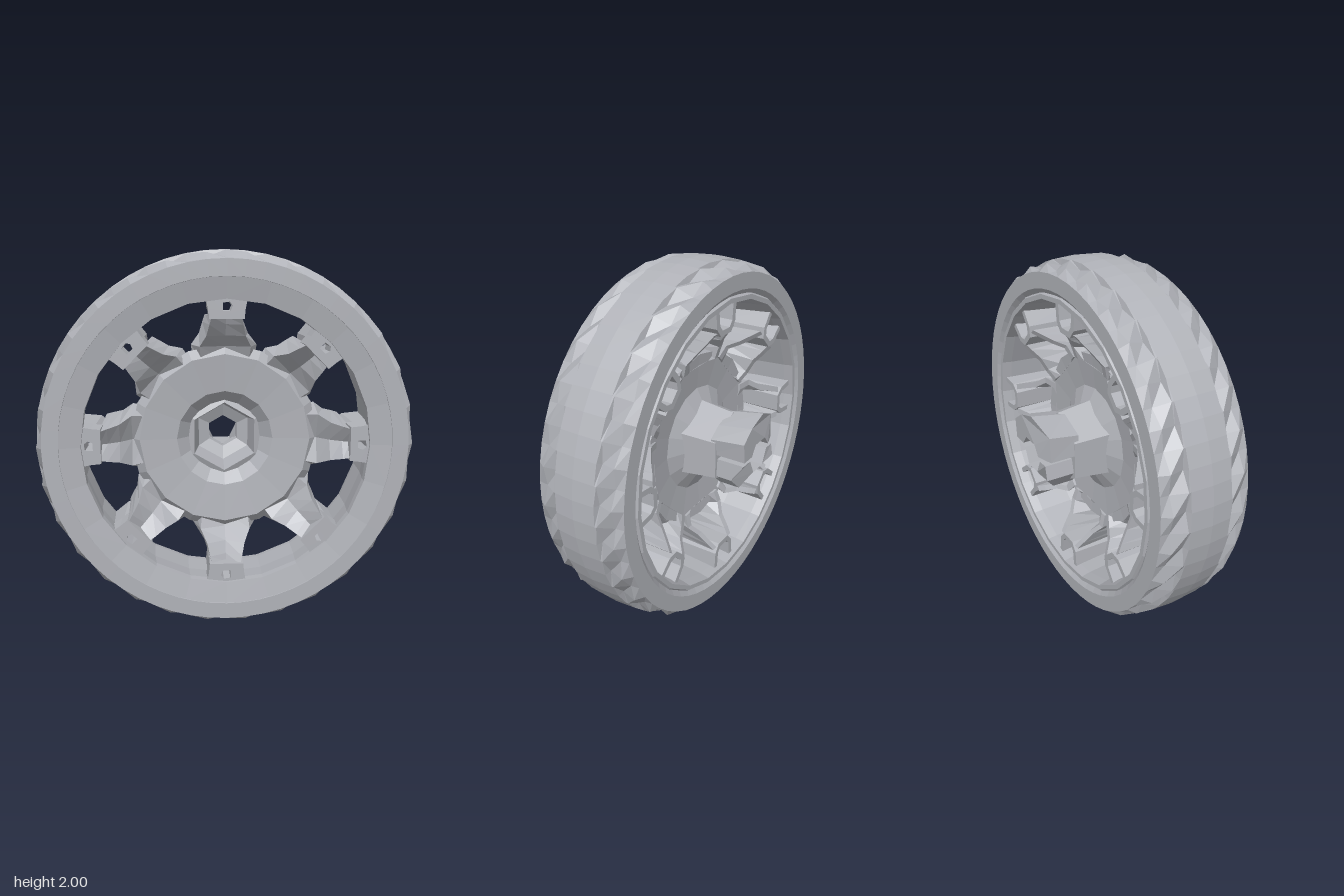
import * as THREE from 'three';

const grey = new THREE.MeshStandardMaterial({ color: 0xb0b2b8, flatShading: true, side: THREE.DoubleSide });
grey.name = 'light grey';

function part(name, geometry) {
  const g = geometry.index ? geometry.toNonIndexed() : geometry;
  g.computeVertexNormals();
  const mesh = new THREE.Mesh(g, grey);
  mesh.name = name;
  return mesh;
}

const points = (list) => list.map(([x, y]) => new THREE.Vector2(x, y));

// Ring turned about the wheel axis from [radius, z] points
function turned(profile, segments, rule) {
  const pts = points([...profile, profile[0]]);
  const g = new THREE.LatheGeometry(pts, segments);
  const p = g.attributes.position;
  if (rule) {
    for (let k = 0; k < p.count; k++) {
      const s = rule(Math.floor(k / pts.length) % segments, k % pts.length);
      p.setX(k, p.getX(k) * s);
      p.setZ(k, p.getZ(k) * s);
    }
  }
  g.rotateX(Math.PI / 2);
  return g;
}

// Flat outline pushed from z0 to z1
function extruded(outline, z0, z1, hole) {
  const shape = new THREE.Shape(points(outline));
  if (hole) shape.holes.push(new THREE.Path(points(hole)));
  const g = new THREE.ExtrudeGeometry(shape, { depth: z1 - z0, bevelEnabled: false });
  g.translate(0, 0, z0);
  return g;
}

// Closed loops of equal length joined into a capped solid
function loft(loops) {
  const n = loops[0].length, idx = [];
  for (let i = 0; i < loops.length - 1; i++) {
    for (let j = 0; j < n; j++) {
      const a = i * n + j, b = i * n + (j + 1) % n;
      idx.push(a, b, a + n, b, b + n, a + n);
    }
  }
  const end = (loops.length - 1) * n;
  const caps = THREE.ShapeUtils.triangulateShape(points(loops[0].map(([x, , z]) => [x, z])), []);
  for (const [a, b, c] of caps) idx.push(a, c, b, end + a, end + b, end + c);
  const g = new THREE.BufferGeometry();
  g.setAttribute('position', new THREE.Float32BufferAttribute(loops.flat(2), 3));
  g.setIndex(idx);
  return g;
}

// Spoke section: notched front, hollow back
function spokeSection(r, w, zf, zb) {
  const t = 0.035;
  return [
    [-w, r, zb], [-w * 0.75, r, zf], [0, r, zf - 0.05], [w * 0.75, r, zf], [w, r, zb],
    [w - t, r, zb], [w * 0.75 - t, r, zf - 0.09], [-w * 0.75 + t, r, zf - 0.09], [-w + t, r, zb],
  ];
}

function spoke() {
  const group = new THREE.Group();
  group.name = 'spoke';
  group.add(part('spokeArm', loft([
    spokeSection(0.43, 0.17, 0.125, 0.02),
    spokeSection(0.5, 0.18, 0.16, 0.0),
    spokeSection(0.56, 0.135, 0.23, -0.04),
    spokeSection(0.62, 0.115, 0.27, -0.09),
    spokeSection(0.66, 0.1, 0.29, -0.12),
  ])));
  // Front of the socket, with a small hole beside the rim
  group.add(part('spokeTip', extruded(
    [[-0.11, 0.78], [-0.095, 0.7], [-0.09, 0.65], [0.09, 0.65], [0.095, 0.7], [0.11, 0.78]], 0.16, 0.3,
    [[-0.02, 0.69], [0.02, 0.69], [0.03, 0.715], [0.015, 0.735], [-0.02, 0.73]])));
  // U-shaped socket wall open at the back
  group.add(part('spokeSocket', extruded([
    [-0.1, 0.79], [-0.09, 0.69], [-0.05, 0.64], [0.05, 0.64], [0.09, 0.69], [0.1, 0.79],
    [0.07, 0.79], [0.06, 0.7], [0.035, 0.67], [-0.035, 0.67], [-0.06, 0.7], [-0.07, 0.79],
  ], -0.13, 0.17)));
  return group;
}

// Halves of the split collar behind the hub
function upperCollar() {
  const g = extruded([[0.17, 0.03], [0.18, 0.14], [0.1, 0.2], [-0.02, 0.24], [-0.17, 0.17], [-0.18, 0.03],
    [-0.09, 0.03], [-0.05, 0.085], [0.05, 0.085], [0.09, 0.03]], -0.35, -0.15);
  const p = g.attributes.position;
  for (let i = 0; i < p.count; i++) {
    if (p.getZ(i) > -0.2 && p.getY(i) > 0.1) p.setY(i, p.getY(i) * 0.85);
    else if (p.getZ(i) < -0.3 && p.getX(i) < -0.12) p.setZ(i, -0.32);
  }
  return g;
}

function lowerCollar() {
  const g = extruded([[0.16, 0], [0.17, -0.1], [0.08, -0.19], [-0.1, -0.17], [-0.17, -0.08], [-0.15, 0],
    [-0.09, 0], [-0.05, -0.085], [0.05, -0.085], [0.09, 0]], -0.34, -0.15);
  const p = g.attributes.position;
  for (let i = 0; i < p.count; i++) {
    if (p.getZ(i) < -0.3 && p.getY(i) < -0.09) p.setZ(i, -0.27);
  }
  return g;
}

export function createModel() {
  const model = new THREE.Group();
  model.name = 'wheel';
  const wheel = new THREE.Group();
  wheel.name = 'wheelAssembly';
  wheel.position.y = 1;
  model.add(wheel);

  // Tyre with saw-toothed shoulders
  const tyre = [
    [0.83, -0.14], [0.86, -0.165], [0.945, -0.165], [0.97, -0.12], [0.98, -0.04],
    [0.993, -0.03], [1.0, 0.09], [0.993, 0.2], [0.98, 0.21], [0.97, 0.285],
    [0.945, 0.34], [0.86, 0.34], [0.85, 0.3],
  ];
  const toothed = { 3: 0, 4: 1, 8: 0, 9: 1 };
  wheel.add(part('tyre', turned(tyre, 60, (i, j) =>
    j in toothed ? [1.012, 0.98][(i + toothed[j]) % 2] : 1)));

  // Rim barrel with wide front flange and thin rear lip
  wheel.add(part('rim', turned([
    [0.85, -0.13], [0.83, -0.155], [0.805, -0.155], [0.795, -0.1], [0.78, 0.1],
    [0.75, 0.27], [0.75, 0.315], [0.87, 0.338], [0.87, 0.2],
  ], 24)));

  // Recessed centre disc with dished middle
  wheel.add(part('centreDisc', turned([
    [0.19, 0.05], [0.26, 0.12], [0.46, 0.14], [0.51, 0.09],
    [0.5, 0.03], [0.3, 0.05], [0.2, 0.0],
  ], 16)));

  // Six-sided hub: deep front recess, narrow bore
  wheel.add(part('hub', turned([
    [0.09, -0.18], [0.21, -0.18], [0.24, 0.05], [0.19, 0.07], [0.16, -0.07], [0.09, -0.1],
  ], 6)));
  wheel.add(part('upperCollar', upperCollar()), part('lowerCollar', lowerCollar()));

  for (let i = 0; i < 8; i++) {
    const s = spoke();
    s.rotation.z = i * Math.PI / 4;
    wheel.add(s);
  }
  return model;
}
